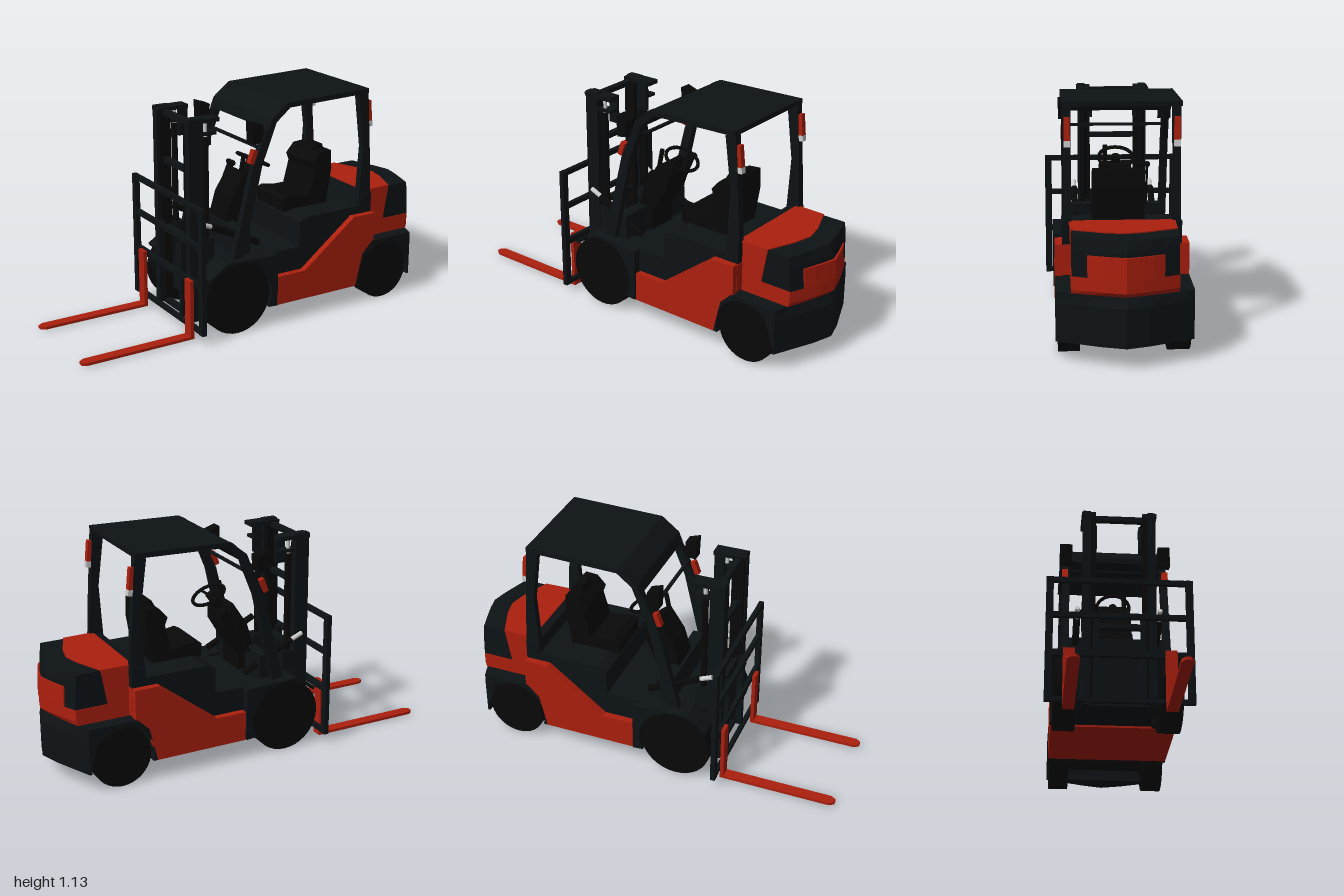
import * as THREE from 'three';

const mat = (color, flatShading = true) => new THREE.MeshStandardMaterial({ color, flatShading, side: THREE.DoubleSide });
const red = mat(0xab1f0e), dark = mat(0x0d1215), black = mat(0x080808), tyre = mat(0x080808, false), grey = mat(0xcccccc);

// Rounded plan of the tail: squeezes everything behind x = 0.87
function bendTail(geo) {
  const p = geo.attributes.position;
  for (let i = 0; i < p.count; i++) {
    const x = p.getX(i), a = Math.abs(p.getZ(i));
    const end = a < 0.1 ? 1 - 0.3 * a : 0.97 - (a - 0.1) * 0.43;
    if (x > 0.87) p.setX(i, 0.87 + (x - 0.87) * (end - 0.87) / 0.13);
  }
  geo.computeVertexNormals();
  return geo;
}

export function createModel() {
  const g = new THREE.Group();
  const add = (name, geo, m, x = 0, y = 0, z = 0) => {
    const mesh = new THREE.Mesh(geo, m);
    mesh.name = name;
    mesh.position.set(x, y, z);
    g.add(mesh);
    return mesh;
  };
  const poly = pts => new THREE.Shape(pts.map(p => new THREE.Vector2(p[0], p[1])));
  // Side profile (x, y) extruded from z0 to z1
  const prismGeo = (shape, z0, z1, steps = 1) =>
    new THREE.ExtrudeGeometry(Array.isArray(shape) ? poly(shape) : shape,
      { depth: z1 - z0, steps, bevelEnabled: false, curveSegments: 24 }).translate(0, 0, z0);
  const prism = (name, shape, z0, z1, m) => add(name, prismGeo(shape, z0, z1), m);
  const prisms = (name, shape, z0, z1, m) => {
    prism(name + 'Left', shape, z0, z1, m);
    prism(name + 'Right', shape, -z1, -z0, m);
  };
  // Box given by its limits
  const box = (name, x0, x1, y0, y1, z0, z1, m) =>
    add(name, new THREE.BoxGeometry(x1 - x0, y1 - y0, z1 - z0), m, (x0 + x1) / 2, (y0 + y1) / 2, (z0 + z1) / 2);
  const boxes = (name, x0, x1, y0, y1, z0, z1, m) => {
    box(name + 'Left', x0, x1, y0, y1, z0, z1, m);
    box(name + 'Right', x0, x1, y0, y1, -z1, -z0, m);
  };
  const rod = (name, a, b, r, m) => {
    const A = new THREE.Vector3(...a), B = new THREE.Vector3(...b), d = B.clone().sub(A);
    const mesh = add(name, new THREE.CylinderGeometry(r, r, d.length(), 10), m);
    mesh.position.copy(A).add(B).multiplyScalar(0.5);
    mesh.quaternion.setFromUnitVectors(new THREE.Vector3(0, 1, 0), d.normalize());
  };

  // Wheels and axles
  const wheel = (name, x, r, z0, z1) => {
    for (const s of [1, -1])
      add(name, new THREE.CylinderGeometry(r, r, z1 - z0, 36).rotateX(Math.PI / 2), tyre, x, r, s * (z0 + z1) / 2);
    rod(name + 'Axle', [x, r, -z0], [x, r, z0], 0.045, black);
  };
  wheel('frontWheel', -0.18, 0.182, 0.2, 0.305);
  wheel('rearWheel', 0.71, 0.15, 0.2, 0.3);

  // Front fenders and the deck between them
  const fender = new THREE.Shape();
  [[0.045, 0.1], [0.045, 0.37], [-0.1, 0.375], [-0.24, 0.38], [-0.345, 0.31]].forEach((p, i) =>
    i ? fender.lineTo(...p) : fender.moveTo(...p));
  fender.absarc(-0.18, 0.185, 0.19, 2.53, -0.44, true);
  prisms('frontFender', fender, 0.19, 0.315, dark);
  box('frontDeck', -0.29, 0.05, 0.11, 0.36, -0.19, 0.19, dark);

  // Main body
  prism('chassis', [[0.0, 0.24], [0.0, 0.37], [0.2, 0.37], [0.2, 0.5], [0.25, 0.52], [0.57, 0.52], [0.58, 0.58],
    [0.64, 0.585], [0.64, 0.33], [0.57, 0.27], [0.53, 0.24]], -0.275, 0.275, dark);
  box('bellyTank', 0.05, 0.53, 0.1, 0.25, -0.28, 0.28, red);
  prisms('sidePanel', [[0.05, 0.1], [0.53, 0.1], [0.57, 0.27], [0.63, 0.33], [0.64, 0.33], [0.64, 0.48],
    [0.51, 0.48], [0.21, 0.25], [0.05, 0.25]], 0.275, 0.31, red);
  boxes('panelReturn', 0.56, 0.642, 0.335, 0.479, 0.235, 0.28, red);

  // Counterweight with wheel arches
  const cw = new THREE.Shape();
  [[0.867, 0.1], [1, 0.1], [1, 0.28], [0.97, 0.33], [0.63, 0.33], [0.57, 0.27], [0.53, 0.1]].forEach((p, i) =>
    i ? cw.lineTo(...p) : cw.moveTo(...p));
  cw.absarc(0.71, 0.15, 0.165, Math.PI + 0.307, -0.307, true);
  const tail = (name, shape, z, m) => add(name, bendTail(prismGeo(shape, -z, z, 6)), m);
  tail('counterweight', cw, 0.31, dark);

  // Narrower hood standing on the counterweight
  tail('tailBand', [[0.64, 0.33], [0.98, 0.33], [1, 0.35], [1, 0.41], [0.64, 0.41]], 0.24, red);
  tail('hoodSide', [[0.64, 0.41], [0.75, 0.41], [0.78, 0.583], [0.64, 0.583]], 0.24, red);
  tail('tailUpper', [[0.75, 0.41], [1, 0.41], [0.985, 0.53], [0.965, 0.583], [0.78, 0.583]], 0.237, dark);
  tail('tailPanel', [[0.9, 0.41], [1.005, 0.41], [1, 0.51], [0.9, 0.51]], 0.17, red);
  const lid = prismGeo([[0.62, -0.245], [0.78, -0.24], [0.84, -0.09], [0.86, 0], [0.84, 0.09], [0.78, 0.24], [0.62, 0.245]], 0, 0.012);
  add('hoodLid', lid.rotateX(-Math.PI / 2), red, 0, 0.576, 0);

  // Overhead guard
  prisms('frontPillar', [[-0.185, 0.37], [-0.125, 0.37], [-0.02, 0.83], [0.06, 1.03], [0.135, 1.09], [0.13, 1.118],
    [0.1, 1.11], [0.025, 1.04], [-0.07, 0.83]], 0.232, 0.268, dark);
  prisms('rearPillar', [[0.565, 0.51], [0.64, 0.585], [0.635, 0.7], [0.607, 1.12], [0.55, 1.1], [0.585, 0.83]], 0.232, 0.268, dark);
  prism('roof', [[0.01, 1.0], [0.03, 1.0], [0.06, 1.04], [0.13, 1.095], [0.605, 1.108], [0.605, 1.132], [0.12, 1.12],
    [0.03, 1.05]], -0.275, 0.275, dark);
  box('guardCrossbar', -0.045, -0.03, 0.912, 0.925, -0.24, 0.24, dark);

  // Lamps
  for (const s of [1, -1]) {
    const lamp = (name, w, h, d, x, y, z, m, tilt) => { add(name, new THREE.BoxGeometry(w, h, d), m, x, y, s * z).rotation.z = tilt; };
    lamp('tailLamp', 0.025, 0.105, 0.028, 0.622, 1.012, 0.25, red, 0.1);
    lamp('reverseLamp', 0.025, 0.03, 0.028, 0.629, 0.945, 0.25, grey, 0.1);
    lamp('indicator', 0.025, 0.07, 0.03, -0.07, 0.875, 0.255, red, -0.35);
    prism('headLamp', [[-0.085, 1.05], [-0.025, 1.03], [-0.03, 0.95], [-0.08, 0.94]],
      s > 0 ? 0.22 : -0.283, s > 0 ? 0.283 : -0.22, black);
    rod('lampBracket', [-0.04, 0.96, s * 0.25], [0.02, 1.0, s * 0.25], 0.008, black);
    rod('grabHandle', [-0.01, 0.86, s * 0.25], [0.05, 1.0, s * 0.25], 0.006, black);
  }

  // Mast
  boxes('outerMast', -0.375, -0.3, 0.05, 1.08, 0.14, 0.178, dark);
  boxes('innerMast', -0.37, -0.31, 0.06, 1.07, 0.115, 0.14, black);
  boxes('mastRear', -0.3, -0.235, 0.2, 0.47, 0.125, 0.175, dark);
  boxes('mastHead', -0.375, -0.21, 1.055, 1.075, 0.115, 0.185, dark);
  boxes('mastHook', -0.27, -0.22, 0.925, 1.06, 0.105, 0.122, dark);
  boxes('mastClamp', -0.3, -0.22, 0.99, 1.005, 0.125, 0.175, dark);
  for (const y of [0.05, 0.45, 0.8, 1.04]) box('mastTie', -0.355, -0.325, y, y + 0.025, -0.14, 0.14, dark);
  for (const s of [1, -1]) {
    rod('liftCylinder', [-0.27, 0.2, s * 0.152], [-0.27, 0.98, s * 0.152], 0.016, black);
    rod('liftPiston', [-0.27, 0.98, s * 0.152], [-0.27, 1.06, s * 0.152], 0.01, grey);
    rod('tiltCylinder', [-0.27, 0.54, s * 0.2], [0.0, 0.41, s * 0.2], 0.017, black);
    rod('tiltPiston', [-0.33, 0.565, s * 0.2], [-0.27, 0.54, s * 0.2], 0.012, grey);
  }

  // Carriage with load backrest
  boxes('backrestPost', -0.41, -0.385, 0.05, 0.69, 0.317, 0.352, dark);
  for (const [y, h] of [[0.05, 0.022], [0.28, 0.03], [0.48, 0.025], [0.665, 0.025]])
    box('carriageBar', -0.408, -0.386, y, y + h, -0.33, 0.33, dark);
  boxes('carriageRoller', -0.395, -0.36, 0.07, 0.5, 0.1, 0.125, dark);

  // Forks: pointed blade and upright shank
  for (const s of [1, -1]) {
    const w = 0.028;
    const blade = prismGeo([[-1, -0.012], [-0.975, -w], [-0.41, -w], [-0.41, w], [-0.975, w], [-1, 0.012]], 0, 0.014);
    add('forkBlade', blade.rotateX(-Math.PI / 2), red, 0, 0.008, s * 0.24);
    box('forkShank', -0.427, -0.408, 0.008, 0.31, s * 0.24 - w, s * 0.24 + w, red);
  }

  // Seat
  prism('seatCushion', [[0.2, 0.51], [0.195, 0.575], [0.225, 0.592], [0.38, 0.565], [0.46, 0.55], [0.46, 0.51]], -0.12, 0.13, black);
  prism('seatBack', [[0.35, 0.55], [0.39, 0.7], [0.375, 0.74], [0.42, 0.79], [0.485, 0.795], [0.49, 0.7], [0.46, 0.52]], -0.115, 0.13, black);
  prism('headrest', [[0.41, 0.78], [0.43, 0.815], [0.475, 0.815], [0.485, 0.78]], -0.05, 0.065, black);

  // Dashboard, steering wheel and levers
  prism('steeringConsole', [[-0.13, 0.38], [-0.115, 0.5], [-0.08, 0.62], [0.0, 0.74], [0.06, 0.69], [0.06, 0.63],
    [-0.03, 0.48], [-0.03, 0.38]], -0.08, 0.08, black);
  box('dashboard', -0.13, -0.07, 0.36, 0.5, -0.235, 0.235, dark);
  rod('steeringColumn', [0.01, 0.67, 0], [0.09, 0.78, 0], 0.022, black);
  const rim = add('steeringWheel', new THREE.TorusGeometry(0.085, 0.009, 8, 24).rotateX(Math.PI / 2), tyre, 0.095, 0.775, 0);
  rim.rotation.z = -0.45;
  rod('steeringSpoke', [0.095, 0.775, -0.085], [0.095, 0.775, 0.085], 0.007, black);
  rod('instrumentPod', [-0.01, 0.72, 0.05], [0.01, 0.82, 0.05], 0.012, black);
  for (const z of [-0.12, -0.14, -0.16]) {
    rod('lever', [-0.05, 0.5, z], [0.05, 0.73, z], 0.006, black);
    add('leverKnob', new THREE.SphereGeometry(0.015, 8, 6), tyre, 0.05, 0.73, z);
  }
  return g;
}
